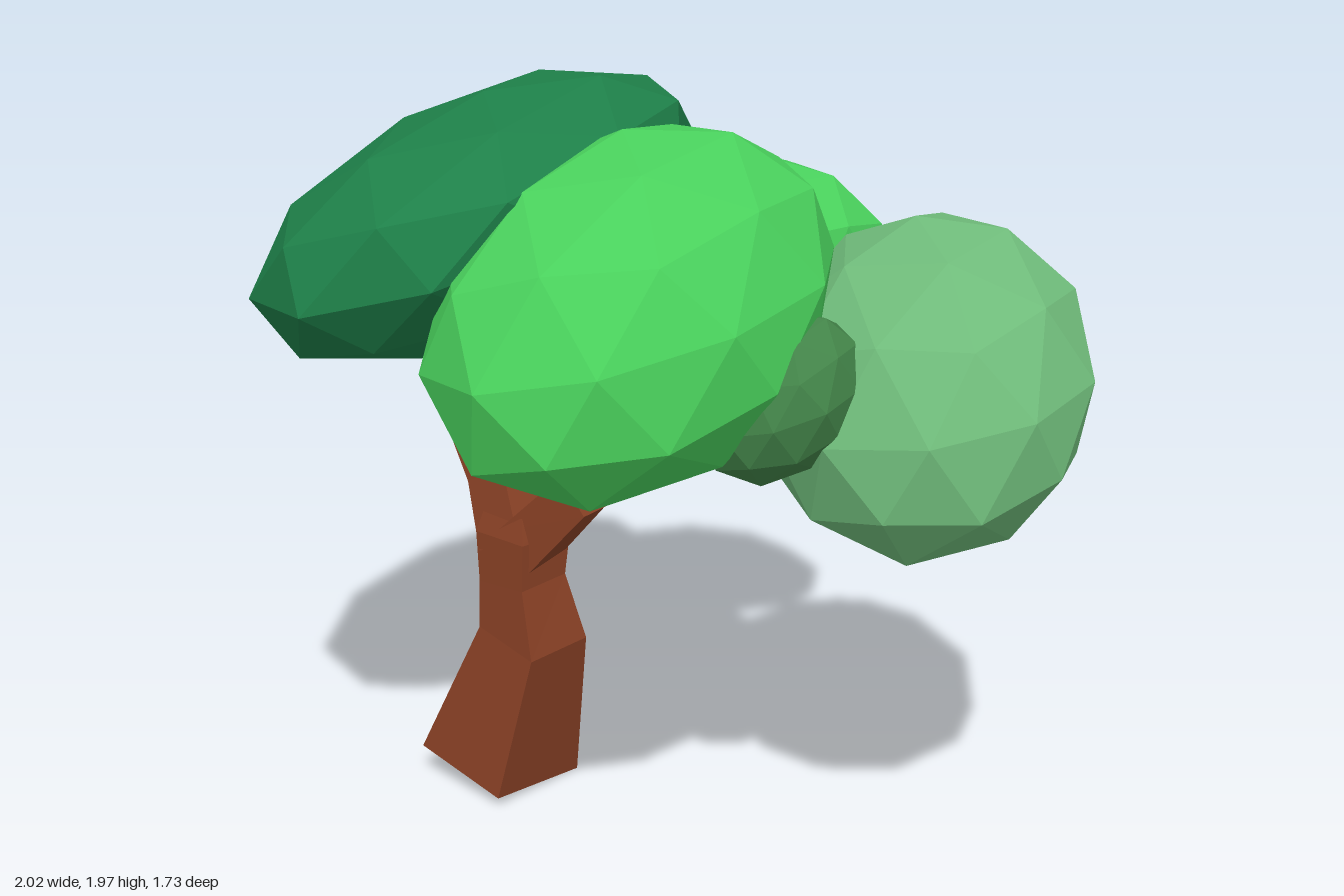
import * as THREE from 'three';

const paint = (color) => new THREE.MeshStandardMaterial({ color, flatShading: true });

// Square limb swept along rings of [x, y, z, radius], capped at both ends;
// startDir optionally sets the direction the first ring faces
function limb(name, rings, material, startDir) {
  const pts = rings.map(([x, y, z]) => new THREE.Vector3(x, y, z));
  const last = rings.length - 1;
  const u = new THREE.Vector3(1, 0, 0.14);
  const pos = [], idx = [];
  rings.forEach((ring, i) => {
    const t = (i === 0 && startDir)
      ? new THREE.Vector3(...startDir).normalize()
      : pts[Math.min(i + 1, last)].clone().sub(pts[Math.max(i - 1, 0)]).normalize();
    u.addScaledVector(t, -u.dot(t)).normalize();
    const v = t.clone().cross(u);
    for (let k = 0; k < 4; k++) {
      const a = k * Math.PI / 2;
      const p = pts[i].clone()
        .addScaledVector(u, ring[3] * Math.cos(a))
        .addScaledVector(v, ring[3] * Math.sin(a));
      pos.push(p.x, p.y, p.z);
      if (i < last) {
        const A = i * 4 + k, B = i * 4 + (k + 1) % 4;
        idx.push(A, B, B + 4, A, B + 4, A + 4);
      }
    }
  });
  const e = last * 4;
  idx.push(0, 2, 1, 0, 3, 2, e, e + 1, e + 2, e, e + 2, e + 3);
  const geo = new THREE.BufferGeometry();
  geo.setAttribute('position', new THREE.Float32BufferAttribute(pos, 3));
  geo.setIndex(idx);
  geo.computeVertexNormals();
  const mesh = new THREE.Mesh(geo, material);
  mesh.name = name;
  return mesh;
}

// Faceted ellipsoid: centre, half extents, and lean in the xy, xz and yz planes
function leafClump(name, color, [cx, cy, cz], [hx, hy, hz], [xy, xz, yz]) {
  const m22 = Math.sqrt(1 - xy * xy);
  const m32 = (yz - xy * xz) / m22;
  const m33 = Math.sqrt(1 - xz * xz - m32 * m32);
  const geo = new THREE.IcosahedronGeometry(1.02, 1);
  geo.rotateX(-Math.atan((1 + Math.sqrt(5)) / 2)); // a corner points straight up
  geo.applyMatrix4(new THREE.Matrix4().set(
    hx, 0, 0, cx,
    hy * xy, hy * m22, 0, cy,
    hz * xz, hz * m32, hz * m33, cz,
    0, 0, 0, 1));
  geo.computeVertexNormals();
  const mesh = new THREE.Mesh(geo, paint(color));
  mesh.name = name;
  return mesh;
}

export function createModel() {
  const tree = new THREE.Group();
  tree.name = 'tree';
  const bark = paint(0x8b4226);

  // Trunk and its branches
  tree.add(
    limb('trunk', [
      [-0.405, 0.05, -0.225, 0.22], [-0.32, 0.48, -0.10, 0.145],
      [-0.345, 0.64, -0.105, 0.115], [-0.34, 0.77, -0.11, 0.125],
      [-0.34, 0.84, -0.11, 0.1]], bark, [0.18, 1, 0.1]),
    limb('leftBranch', [
      [-0.33, 0.74, -0.09, 0.1], [-0.2, 0.93, 0.05, 0.085],
      [0, 1.03, 0.13, 0.055], [0.35, 1.14, 0.27, 0.05]], bark),
    limb('frontBranch', [
      [-0.12, 0.98, 0.08, 0.06], [-0.21, 1.08, 0.14, 0.06],
      [-0.26, 1.22, 0.2, 0.06]], bark),
    limb('rightBranch', [
      [-0.35, 0.74, -0.11, 0.11], [-0.38, 0.92, -0.18, 0.1],
      [-0.43, 1.07, -0.27, 0.1], [-0.5, 1.25, -0.37, 0.07]], bark),
    limb('backBranch', [
      [-0.38, 0.9, -0.18, 0.09], [-0.33, 1.05, -0.3, 0.08],
      [-0.2, 1.15, -0.42, 0.07], [0.02, 1.3, -0.56, 0.06]], bark));

  // Leaf clumps
  const bright = 0x49d05c;
  tree.add(
    leafClump('darkCrown', 0x1e8049, [-0.42, 1.63, -0.18], [0.585, 0.345, 0.665], [0.42, -0.35, 0]),
    leafClump('frontClump', bright, [-0.125, 1.5, 0.385], [0.505, 0.405, 0.485], [0.25, -0.22, -0.33]),
    leafClump('frontSmallClump', 0x428348, [0.195, 1.31, 0.54], [0.195, 0.2, 0.21], [0.3, 0, 0]),
    leafClump('paleClump', 0x6fbb7a, [0.595, 1.285, 0.4], [0.405, 0.385, 0.47], [0.18, -0.05, -0.27]),
    leafClump('backClump', bright, [0.36, 1.39, -0.49], [0.36, 0.31, 0.385], [0, 0.22, 0.22]),
    leafClump('backSmallClump', bright, [0.025, 1.5, -0.39], [0.205, 0.215, 0.24], [0, 0.1, 0]));

  return tree;
}
